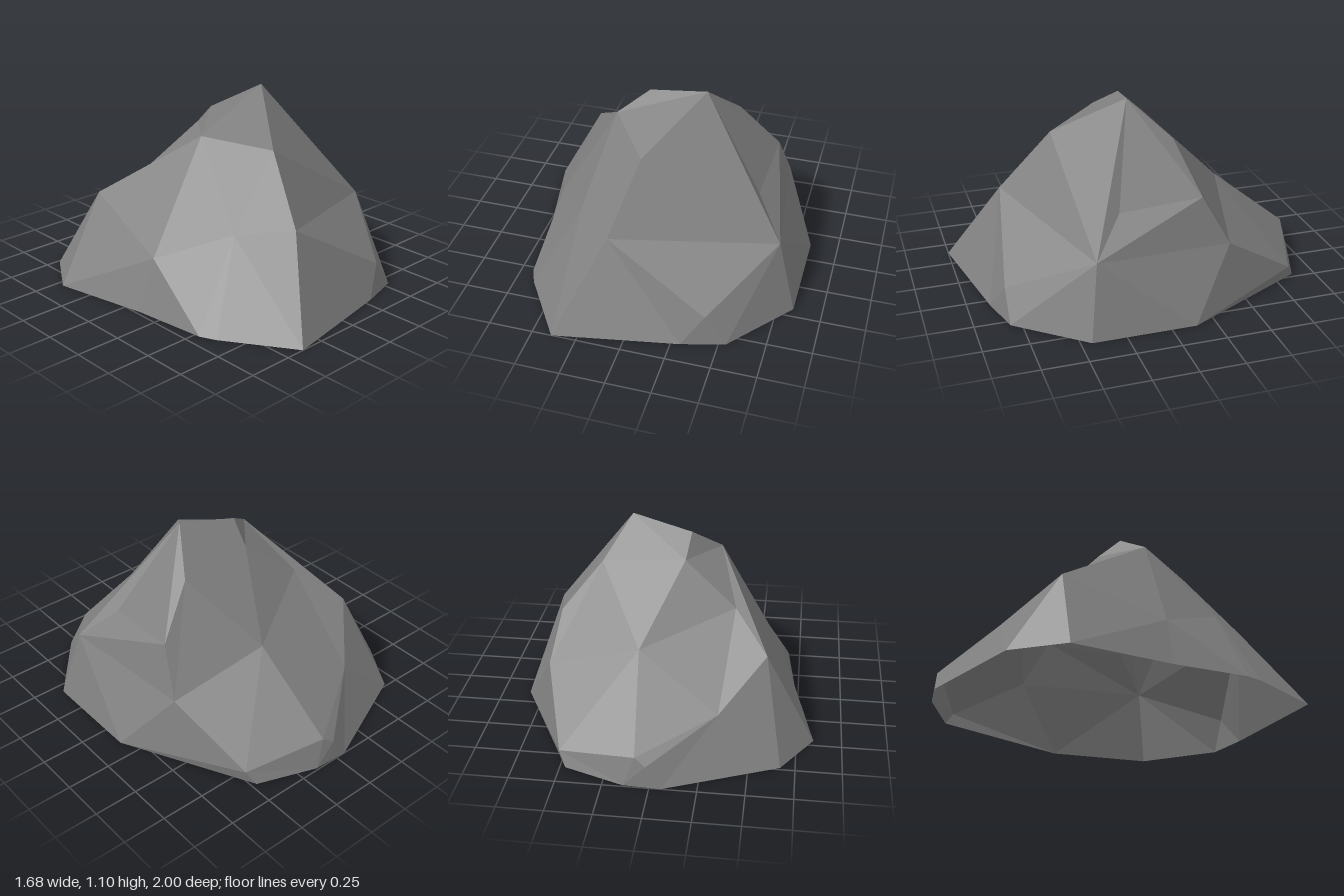
import * as THREE from 'three';

// Footprint corners on the ground, as [x, z], lettered clockwise seen from above
const footprint = {
  a: [-0.06, -1], b: [0.14, -0.99], c: [0.47, -0.87], d: [0.84, -0.14], e: [0.84, 0.44],
  f: [0.54, 0.81], g: [0.3, 0.875], h: [-0.39, 1], i: [-0.64, 0.62], j: [-0.68, 0.53],
  k: [-0.73, 0.105], l: [-0.845, -0.455], m: [-0.67, -0.735],
};

// Raised corners, as [x, y, z]
const raised = {
  A: [0.23, 1.1, 0.065],                                                // summit
  B: [-0.11, 1.025, 0.01], C: [-0.275, 0.91, 0.11], S: [-0.088, 0.908, -0.12], // shoulder
  D: [-0.04, 0.85, 0.43], E: [-0.15, 0.5, 0.71], F: [-0.38, 0.47, 0.48],    // front ridge
  N: [0.42, 0.165, 0.81], G: [0.73, 0.4, 0.38], H: [0.57, 0.59, 0.21],      // front left flank
  I: [0.59, 0.63, -0.25], J: [0.37, 0.895, -0.155], K: [0.645, 0.36, -0.395], // left flank
  L: [0.12, 0.54, -0.505], M: [0.51, 0.075, -0.825],                        // back slope
  R: [0.08, 0.16, -0.965], T: [0.02, 0.12, -0.985], U: [-0.33, 0.29, -0.71],
  Q: [-0.38, 0.68, -0.22], O: [-0.57, 0.51, -0.44], P: [-0.63, 0.29, 0.11], // right flank
};

// Facets as fans: the first letter is the hub, the rest its rim in order
const fans = [
  'ADGHIJSBCD', 'EFhgNGDF', 'FDCPjih', 'NgfG', 'GfedKIH', 'KIJLMd',
  'MdcbRL', 'SJLQCB', 'LRUQ', 'RbTU', 'TbaU', 'UamOQ', 'OmlPCQ', 'Plkj',
];

export function createModel() {
  const corners = { ...raised };
  for (const [name, [x, z]] of Object.entries(footprint)) corners[name] = [x, 0, z];
  const point = (name) => new THREE.Vector3(...corners[name]);
  const middle = new THREE.Vector3(0, 0.3, 0);

  const positions = [];
  for (const [hub, ...rim] of fans) {
    for (let n = 0; n + 1 < rim.length; n++) {
      const tri = [hub, rim[n], rim[n + 1]].map(point);
      const normal = new THREE.Triangle(...tri).getNormal(new THREE.Vector3());
      // Turn every facet to face away from the middle of the stone
      if (normal.dot(tri[0].clone().sub(middle)) < 0) tri.reverse();
      for (const p of tri) positions.push(p.x, p.y, p.z);
    }
  }
  const geometry = new THREE.BufferGeometry();
  geometry.setAttribute('position', new THREE.Float32BufferAttribute(positions, 3));
  geometry.computeVertexNormals(); // unshared corners keep the facets flat

  // The shell is open underneath, so its inside shows too
  const stone = new THREE.MeshStandardMaterial({ color: 0x808080, side: THREE.DoubleSide });
  stone.name = 'stone grey';
  const rock = new THREE.Mesh(geometry, stone);
  rock.name = 'rock';

  const model = new THREE.Group();
  model.name = 'boulder';
  model.add(rock);
  return model;
}
